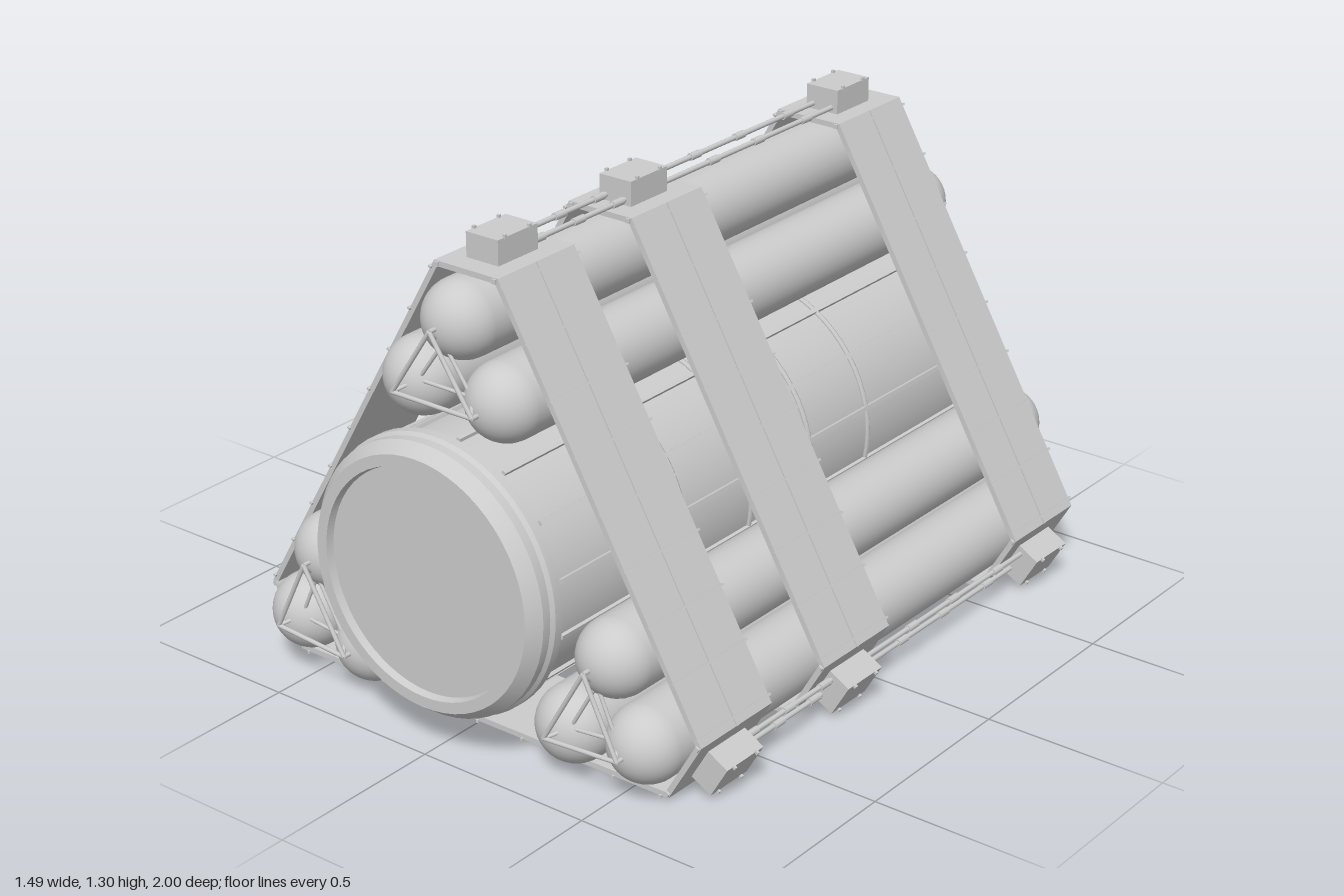
import * as THREE from 'three';
import { toCreasedNormals } from 'three/addons/utils/BufferGeometryUtils.js';

const CENTRE = 0.47;              // height of the long axis
const SIDE = 0.464, CAP = 0.7556; // axis to long band side, axis to corner flat
const COS = Math.sqrt(3) / 2;
const BANDS = [0.66, 0.16, -0.718];
const BAND_W = 0.28;

const grey = new THREE.MeshStandardMaterial({ color: 0xcccccc });

function add(parent, name, geo, x = 0, y = 0, z = 0) {
  const m = new THREE.Mesh(geo, grey);
  m.name = name;
  m.position.set(x, y, z);
  parent.add(m);
  return m;
}

const box = (w, h, d) => new THREE.BoxGeometry(w, h, d);

// Round bar between two points
function rod(parent, name, a, b, r) {
  const va = new THREE.Vector3(...a), vb = new THREE.Vector3(...b);
  const dir = vb.clone().sub(va);
  const m = add(parent, name, new THREE.CylinderGeometry(r, r, dir.length(), 10));
  m.position.copy(va).add(vb).multiplyScalar(0.5);
  m.quaternion.setFromUnitVectors(new THREE.Vector3(0, 1, 0), dir.normalize());
}

// Six corners of the clipped triangle, moved inward by t
function outline(t) {
  const d = SIDE - t, D = CAP - t, w = (d - D / 2) / COS;
  const pts = [];
  for (let k = 0; k < 3; k++) {
    const a = k * Math.PI * 2 / 3;
    for (const x of [w, -w]) {
      pts.push(new THREE.Vector2(x * Math.cos(a) - D * Math.sin(a), x * Math.sin(a) + D * Math.cos(a)));
    }
  }
  return pts;
}

// Large central drum with recessed, rimmed ends
function drum() {
  const g = new THREE.Group();
  g.name = 'centralDrum';
  const profile = [
    [0, -0.955], [0.3, -0.955], [0.305, -0.975], [0.335, -0.975], [0.352, -0.955],
    [0.352, -0.925], [0.368, -0.915], [0.368, -0.875], [0.352, -0.865],
    [0.352, 0.895], [0.37, 0.905], [0.37, 0.93], [0.362, 0.94], [0.362, 0.965],
    [0.335, 1], [0.305, 1], [0.3, 0.98], [0, 0.98],
  ].map(p => new THREE.Vector2(...p));
  const shell = toCreasedNormals(new THREE.LatheGeometry(profile, 60), 0.4);
  shell.rotateX(Math.PI / 2);
  add(g, 'drumShell', shell);
  // Lengthwise seams
  for (let i = 0; i < 15; i++) {
    const a = (i + 0.5) * Math.PI * 2 / 15;
    add(g, 'drumSeam', box(0.014, 0.012, 1.74), Math.cos(a) * 0.354, Math.sin(a) * 0.354, 0.015)
      .rotation.z = a;
  }
  // Hoops
  for (const z of [0.41, 0.14, -0.12, -0.375]) {
    add(g, 'drumHoop', new THREE.TorusGeometry(0.353, 0.008, 6, 60), 0, 0, z);
  }
  return g;
}

// Three round-ended tanks with tie frames on both ends
function tankCluster() {
  const g = new THREE.Group();
  g.name = 'tankCluster';
  const r = 0.103, front = 0.915, back = -0.975;
  const seats = [[0, 0.638], [-0.13, 0.458], [0.13, 0.458]];
  for (const [x, y] of seats) {
    const geo = new THREE.CapsuleGeometry(r, front - back - 2 * r, 12, 32);
    geo.rotateX(Math.PI / 2);
    add(g, 'tank', geo, x, y, (front + back) / 2);
  }
  const mx = 0, my = (seats[0][1] + seats[1][1] * 2) / 3;
  for (const [end, s] of [[front, 1], [back, -1]]) {
    const z = end + s * 0.019;
    for (let i = 0; i < 3; i++) {
      const a = seats[i], b = seats[(i + 1) % 3];
      // Outer bar with two short feet
      const ends = [a, b].map(p => [p[0] * 0.97, p[1] + (p[1] < my ? -0.006 : 0.002)]);
      rod(g, 'tieBar', [...ends[0], z], [...ends[1], z], 0.006);
      for (const p of ends) rod(g, 'tieFoot', [...p, z], [...p, end - s * 0.02], 0.006);
      // Deeper inner bar joining neighbouring domes
      const inner = [a, b].map(p => [mx + (p[0] - mx) * 0.65, my + (p[1] - my) * 0.65]);
      rod(g, 'innerTieBar', [...inner[0], end - s * 0.03], [...inner[1], end - s * 0.03], 0.005);
      rod(g, 'innerTieStrut', [...inner[0], end - s * 0.03], [...ends[0], z], 0.005);
    }
  }
  return g;
}

// Corner clamps and the twin rods that link them
function cornerRail() {
  const g = new THREE.Group();
  g.name = 'cornerRail';
  for (const bz of BANDS) {
    const z = bz + 0.008;
    add(g, 'clampBlock', box(0.1, 0.068, 0.145), 0, CAP + 0.032, z);
    for (const x of [-0.048, 0.048]) {
      for (const dz of [-0.045, 0.045]) {
        add(g, 'clampBolt', box(0.008, 0.012, 0.008), x, CAP + 0.067, z + dz);
      }
    }
  }
  for (const x of [-0.03, 0.03]) {
    rod(g, 'linkRod', [x, CAP + 0.015, BANDS[2]], [x, CAP + 0.015, BANDS[0]], 0.007);
    for (const z of [0.57, 0.42, 0.27, -0.12, -0.31, -0.52]) {
      rod(g, 'rodCollar', [x, CAP + 0.015, z - 0.02], [x, CAP + 0.015, z + 0.02], 0.01);
    }
  }
  return g;
}

// Thin raised seams on one long side of every band, and on its corner flat
function bandSeams() {
  const g = new THREE.Group();
  g.name = 'bandSeams';
  const half = (CAP - SIDE / 2) / COS;
  for (const z of BANDS) {
    add(g, 'longSeam', box(half * 2, 0.006, 0.006), 0, -SIDE - 0.001, z);
    for (let i = -4; i <= 4; i++) {
      add(g, 'crossSeam', box(0.006, 0.008, BAND_W + 0.012), i * half / 4.15, -SIDE, z);
    }
    // Small lugs beside the clamps
    for (const x of [-0.09, 0.09]) {
      add(g, 'bandLug', box(0.012, 0.012, BAND_W + 0.012), x, CAP - 0.008, z);
    }
  }
  return g;
}

export function createModel() {
  const model = new THREE.Group();
  model.name = 'tankPack';
  const core = new THREE.Group();
  core.name = 'core';
  core.position.y = CENTRE;
  model.add(core);

  core.add(drum());

  // Flat straps around the whole pack
  const strap = new THREE.Shape(outline(0));
  strap.holes.push(new THREE.Path(outline(0.015).reverse()));
  for (const z of BANDS) {
    const geo = new THREE.ExtrudeGeometry(strap, { depth: BAND_W, bevelEnabled: false });
    add(core, 'band', geo, 0, 0, z - BAND_W / 2);
  }

  // Everything else repeats at the three corners
  for (let k = 0; k < 3; k++) {
    const sector = new THREE.Group();
    sector.name = ['topCorner', 'rightCorner', 'leftCorner'][k];
    sector.rotation.z = k * Math.PI * 2 / 3;
    sector.add(tankCluster(), cornerRail(), bandSeams());
    core.add(sector);
  }
  return model;
}
